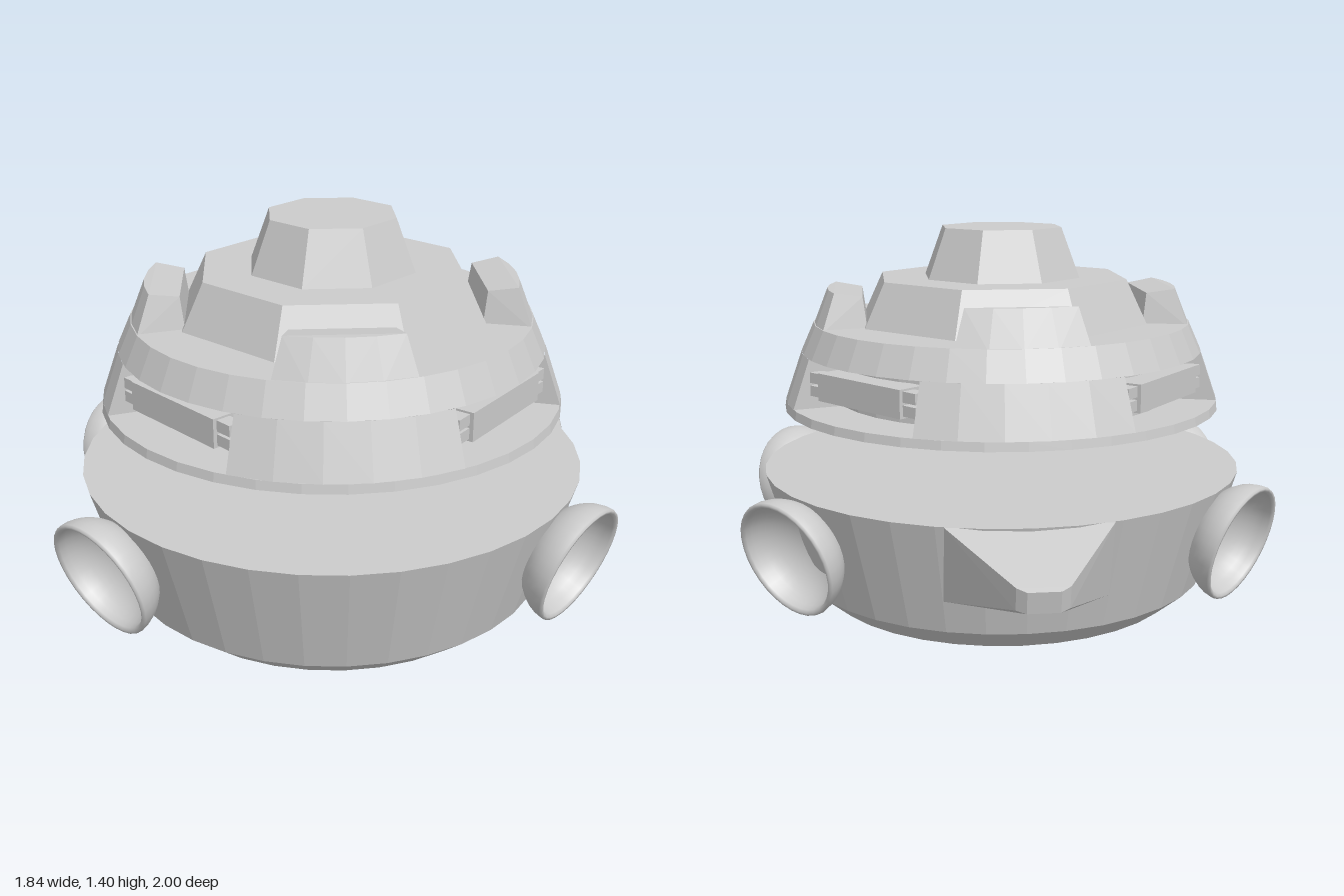
import * as THREE from 'three';
import { ConvexGeometry } from 'three/addons/geometries/ConvexGeometry.js';

const rad = THREE.MathUtils.degToRad;
const flat = new THREE.MeshStandardMaterial({ color: 0xcccccc, flatShading: true });
const flatDouble = new THREE.MeshStandardMaterial({ color: 0xcccccc, flatShading: true, side: THREE.DoubleSide });
const smooth = new THREE.MeshStandardMaterial({ color: 0xcccccc, side: THREE.DoubleSide });
const pts = (list) => list.map(([x, y]) => new THREE.Vector2(x, y));

function add(parent, name, geometry, material = flat) {
  const mesh = new THREE.Mesh(geometry, material);
  mesh.name = name;
  parent.add(mesh);
  return mesh;
}

// Octagonal frustum with flats facing the axes, sized by apothem
function octagon(bottom, top, y0, y1) {
  const k = 1 / Math.cos(Math.PI / 8);
  const g = new THREE.CylinderGeometry(top * k, bottom * k, y1 - y0, 8);
  g.rotateY(Math.PI / 8);
  g.translate(0, (y0 + y1) / 2, 0);
  return g;
}

// Wall section that fills the dome between two slots
function wallSection(parent, centre, half) {
  const profile = [[0.6, 0.8], [0.775, 0.8], [0.715, 0.97], [0.6, 0.97]];
  const group = new THREE.Group();
  group.name = 'domeWallSection';
  add(group, 'wallFace', new THREE.LatheGeometry(pts(profile.slice(1, 3)),
    Math.round(half / 5), rad(centre - half), rad(half * 2)));
  for (const side of [-1, 1]) {
    const end = add(group, 'slotEnd', new THREE.ShapeGeometry(new THREE.Shape(pts(profile))), flatDouble);
    end.rotation.y = rad(centre + side * half) - Math.PI / 2;
  }
  parent.add(group);
}

// Raised block on the dome ledge: curved outside, straight inside
function ledgeBlock() {
  const p = [];
  for (const t of [-1, -0.5, 0, 0.5, 1]) {
    const a = rad(19 * t), b = rad(17 * t);
    p.push(new THREE.Vector3(0.67 * Math.sin(a), 1.06, 0.67 * Math.cos(a)));
    p.push(new THREE.Vector3(0.618 * Math.sin(b), 1.19, 0.618 * Math.cos(b)));
  }
  for (const s of [-1, 1]) {
    p.push(new THREE.Vector3(s * 0.175, 1.06, 0.48), new THREE.Vector3(s * 0.16, 1.175, 0.495));
  }
  return new ConvexGeometry(p);
}

// Open bowl along +y with a thin rounded lip
function bowlGeometry() {
  const profile = [];
  for (let i = 0; i <= 10; i++) {
    const a = (i / 10) * Math.PI / 2;
    profile.push([0.21 * Math.sin(a), -0.165 * Math.cos(a)]);
  }
  profile.push([0.207, 0.008], [0.198, 0.008]);
  for (let i = 10; i >= 0; i--) {
    const a = (i / 10) * Math.PI / 2;
    profile.push([0.19 * Math.sin(a), -0.15 * Math.cos(a)]);
  }
  return new THREE.LatheGeometry(pts(profile), 32);
}

export function createModel() {
  const model = new THREE.Group();
  model.name = 'domedPod';
  const pod = new THREE.Group();
  pod.name = 'pod';
  pod.position.z = 0.14;
  model.add(pod);

  // Lower hull with a blind round socket underneath
  add(pod, 'lowerHull', new THREE.LatheGeometry(pts([
    [0, 0.38], [0.4, 0.38], [0.4, 0], [0.65, 0.08], [0.745, 0.16], [0.86, 0.55], [0, 0.55],
  ]), 36));

  // Floating dome with a recessed band, filled by wall sections
  add(pod, 'dome', new THREE.LatheGeometry(pts([
    [0, 0.77], [0.78, 0.77], [0.775, 0.8], [0.6, 0.8], [0.6, 0.97], [0.715, 0.97], [0.67, 1.07], [0, 1.07],
  ]), 36));
  for (const [centre, half] of [[0, 27], [90, 17.5], [180, 27], [270, 17.5]]) {
    wallSection(pod, centre, half);
  }

  // Bars with paired rods inside the four slots
  for (const angle of [50, 130, 230, 310]) {
    const slot = new THREE.Group();
    slot.name = 'slotBar';
    slot.rotation.y = rad(angle);
    add(slot, 'bar', new THREE.BoxGeometry(0.412, 0.095, 0.1)).position.set(0, 0.887, 0.628);
    for (const y of [0.865, 0.91]) {
      add(slot, 'rod', new THREE.BoxGeometry(0.53, 0.036, 0.05)).position.set(0, y, 0.64);
    }
    pod.add(slot);
  }

  // Blocks around the ledge
  const block = ledgeBlock();
  for (let i = 0; i < 4; i++) add(pod, 'ledgeBlock', block).rotation.y = i * Math.PI / 2;

  // Octagonal tiers on top
  add(pod, 'upperTier', octagon(0.49, 0.42, 1.07, 1.225));
  add(pod, 'topCap', octagon(0.265, 0.203, 1.225, 1.4));

  // Four bowls facing diagonally outwards and slightly down
  const bowl = bowlGeometry();
  for (const sx of [-1, 1]) {
    for (const sz of [-1, 1]) {
      const mesh = add(pod, 'bowl', bowl, smooth);
      mesh.position.set(sx * 0.765, 0.36, sz * 0.515);
      const facing = new THREE.Vector3(sx * 0.69, -0.26, sz * 0.675).normalize();
      mesh.quaternion.setFromUnitVectors(new THREE.Vector3(0, 1, 0), facing);
    }
  }

  // Tapered spout at the back
  const spout = [];
  for (const s of [-1, 1]) {
    for (const [x, y, z] of [
      [0.265, 0.55, -0.5], [0.265, 0.28, -0.5], [0.265, 0.55, -0.685], [0.265, 0.28, -0.6],
      [0.08, 0.458, -0.98], [0.05, 0.45, -1], [0.08, 0.385, -0.965], [0.05, 0.38, -0.985],
    ]) spout.push(new THREE.Vector3(s * x, y, z));
  }
  add(model, 'spout', new ConvexGeometry(spout));

  return model;
}
